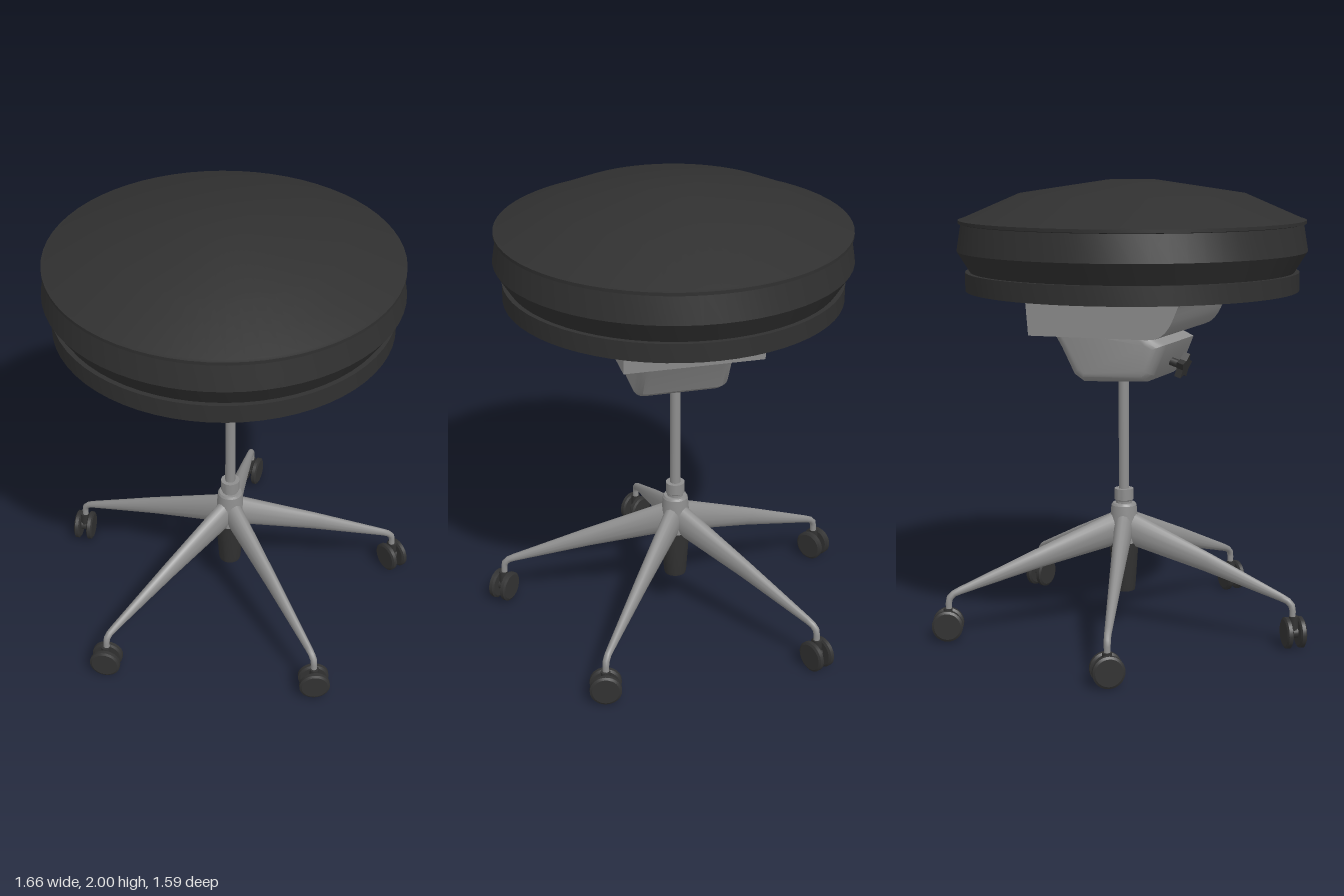
import * as THREE from 'three';
import { toCreasedNormals } from 'three/addons/utils/BufferGeometryUtils.js';

const material = (name, color) => {
  const m = new THREE.MeshStandardMaterial({ color });
  m.name = name;
  return m;
};

function add(parent, name, geometry, mat, x = 0, y = 0, z = 0) {
  const mesh = new THREE.Mesh(geometry, mat);
  mesh.name = name;
  mesh.position.set(x, y, z);
  parent.add(mesh);
  return mesh;
}

// Turned part from [radius, height] pairs, bottom to top
function turned(points, segments = 32, crease = 0.4) {
  const profile = points.map(([r, y]) => new THREE.Vector2(r, y));
  return toCreasedNormals(new THREE.LatheGeometry(profile, segments), crease);
}

// Side outline drawn in (z, y), extruded across x and centred
function sideExtrude(shape, width, bevel = 0) {
  const depth = width - 2 * bevel;
  const g = new THREE.ExtrudeGeometry(shape, {
    depth, curveSegments: 10, bevelEnabled: bevel > 0, bevelSegments: 4,
    bevelThickness: bevel, bevelSize: bevel * 0.8, bevelOffset: -bevel * 0.8,
  });
  g.translate(0, 0, -depth / 2);
  g.rotateY(-Math.PI / 2);
  return toCreasedNormals(g, 0.5);
}

// Tapered leg along +x that bends down into a caster stem
function legGeometry(sides = 14) {
  // distance, height, pitch, half height, half width
  const sections = [
    [0.02, 0.462, -0.35, 0.075, 0.042],
    [0.40, 0.338, -0.33, 0.043, 0.028],
    [0.74, 0.217, -0.33, 0.017, 0.016],
    [0.768, 0.205, -0.6, 0.015, 0.015],
    [0.785, 0.188, -1.1, 0.015, 0.015],
    [0.79, 0.165, -1.57, 0.014, 0.014],
    [0.79, 0.10, -1.57, 0.014, 0.014],
  ];
  const positions = [], index = [];
  sections.forEach(([r, y, a, h, w], i) => {
    for (let j = 0; j < sides; j++) {
      const t = (j / sides) * Math.PI * 2;
      const up = h * Math.cos(t);
      positions.push(r - Math.sin(a) * up, y + Math.cos(a) * up, w * Math.sin(t));
      if (i === sections.length - 1) continue;
      const k = (j + 1) % sides, p = i * sides, q = p + sides;
      index.push(p + j, p + k, q + j, p + k, q + k, q + j);
    }
  });
  const g = new THREE.BufferGeometry();
  g.setAttribute('position', new THREE.Float32BufferAttribute(positions, 3));
  g.setIndex(index);
  g.computeVertexNormals();
  return g;
}

export function createModel() {
  const model = new THREE.Group();
  model.name = 'stool';
  const fabric = material('seat black', 0x303030);
  const metal = material('metal grey', 0x8e8e8e);
  const plastic = material('plastic dark', 0x323232);

  // Seat: domed cushion with a lip, over a flat base disc
  const seat = new THREE.Group();
  seat.name = 'seat';
  seat.position.set(-0.008, 0, -0.03);
  model.add(seat);
  add(seat, 'cushion', turned([
    [0, 1.6], [0.695, 1.6], [0.757, 1.70], [0.738, 1.815], [0.75, 1.818],
    [0.75, 1.832], [0.735, 1.836], [0.49, 1.942], [0.11, 2.0], [0, 2.0],
  ], 64), fabric);
  add(seat, 'seatBase', turned([[0, 1.53], [0.722, 1.53], [0.722, 1.61], [0, 1.61]], 64), fabric);

  // Upper mechanism housing with a curved front
  const upper = new THREE.Shape();
  upper.moveTo(0.33, 1.535);
  upper.bezierCurveTo(0.275, 1.50, 0.285, 1.35, 0.16, 1.35);
  upper.lineTo(-0.388, 1.343);
  upper.lineTo(-0.404, 1.535);
  add(model, 'upperHousing', sideExtrude(upper, 0.603), metal, -0.008);

  // Lower mechanism housing with rounded sides
  const lower = new THREE.Shape([
    [0.06, 1.39], [0.125, 1.345], [0.19, 1.315], [0.135, 1.18], [0.10, 1.15], [-0.187, 1.135],
    [-0.235, 1.165], [-0.295, 1.28], [-0.335, 1.345], [-0.36, 1.39],
  ].map(([z, y]) => new THREE.Vector2(z, y)));
  add(model, 'lowerHousing', sideExtrude(lower, 0.41, 0.05), metal, 0.003);

  // Star knob on the front of the housing
  const knob = new THREE.Group();
  knob.name = 'knob';
  knob.position.set(-0.01, 1.21, 0.195);
  knob.rotation.x = 0.3;
  model.add(knob);
  const star = new THREE.Shape();
  for (let i = 0; i < 10; i++) {
    const a = Math.PI / 2 + (i * Math.PI) / 5, r = i % 2 ? 0.036 : 0.06;
    star[i ? 'lineTo' : 'moveTo'](r * Math.cos(a), r * Math.sin(a));
  }
  add(knob, 'knobHead', new THREE.ExtrudeGeometry(star, { depth: 0.03, bevelEnabled: false }), plastic);
  const stem = add(knob, 'knobStem', new THREE.CylinderGeometry(0.018, 0.018, 0.09, 16), plastic, 0, 0, -0.04);
  stem.rotation.x = Math.PI / 2;

  // Centre column, collar, hub and lift housing
  const base = new THREE.Group();
  base.name = 'base';
  base.position.set(-0.006, 0, -0.072);
  model.add(base);
  add(base, 'column', new THREE.CylinderGeometry(0.023, 0.023, 0.55, 24), metal, 0, 0.9);
  add(base, 'collar', turned([[0, 0.56], [0.036, 0.56], [0.036, 0.585], [0.042, 0.59], [0.042, 0.64], [0, 0.64]]), metal);
  add(base, 'hub', turned([[0, 0.395], [0.064, 0.395], [0.062, 0.5], [0.056, 0.565], [0.05, 0.575], [0, 0.575]]), metal);
  add(base, 'liftHousing', turned([[0, 0.175], [0.048, 0.175], [0.051, 0.19], [0.065, 0.397], [0, 0.397]]), plastic);

  // Five legs, each with a twin-wheel caster swivelled its own way
  const leg = legGeometry();
  const wheel = turned([
    [0, -0.014], [0.058, -0.014], [0.068, -0.008], [0.068, 0.008], [0.058, 0.014], [0, 0.014],
  ], 28).rotateZ(Math.PI / 2);
  const axle = new THREE.CylinderGeometry(0.024, 0.024, 0.05, 16).rotateZ(Math.PI / 2);
  const socket = new THREE.CylinderGeometry(0.02, 0.02, 0.075, 16);
  [-0.96, -0.74, 1.37, 0.42, 0.61].forEach((swivel, i) => {
    const angle = -Math.PI / 2 + (i * Math.PI * 2) / 5;
    add(base, 'leg', leg, metal).rotation.y = angle;
    const caster = new THREE.Group();
    caster.name = 'caster';
    caster.position.set(0.795 * Math.cos(angle), 0.068, -0.795 * Math.sin(angle));
    caster.rotation.y = swivel;
    base.add(caster);
    for (const side of [-1, 1]) add(caster, 'wheel', wheel, plastic, side * 0.03);
    add(caster, 'axle', axle, plastic);
    add(caster, 'socket', socket, plastic, 0, 0.035);
  });
  return model;
}
